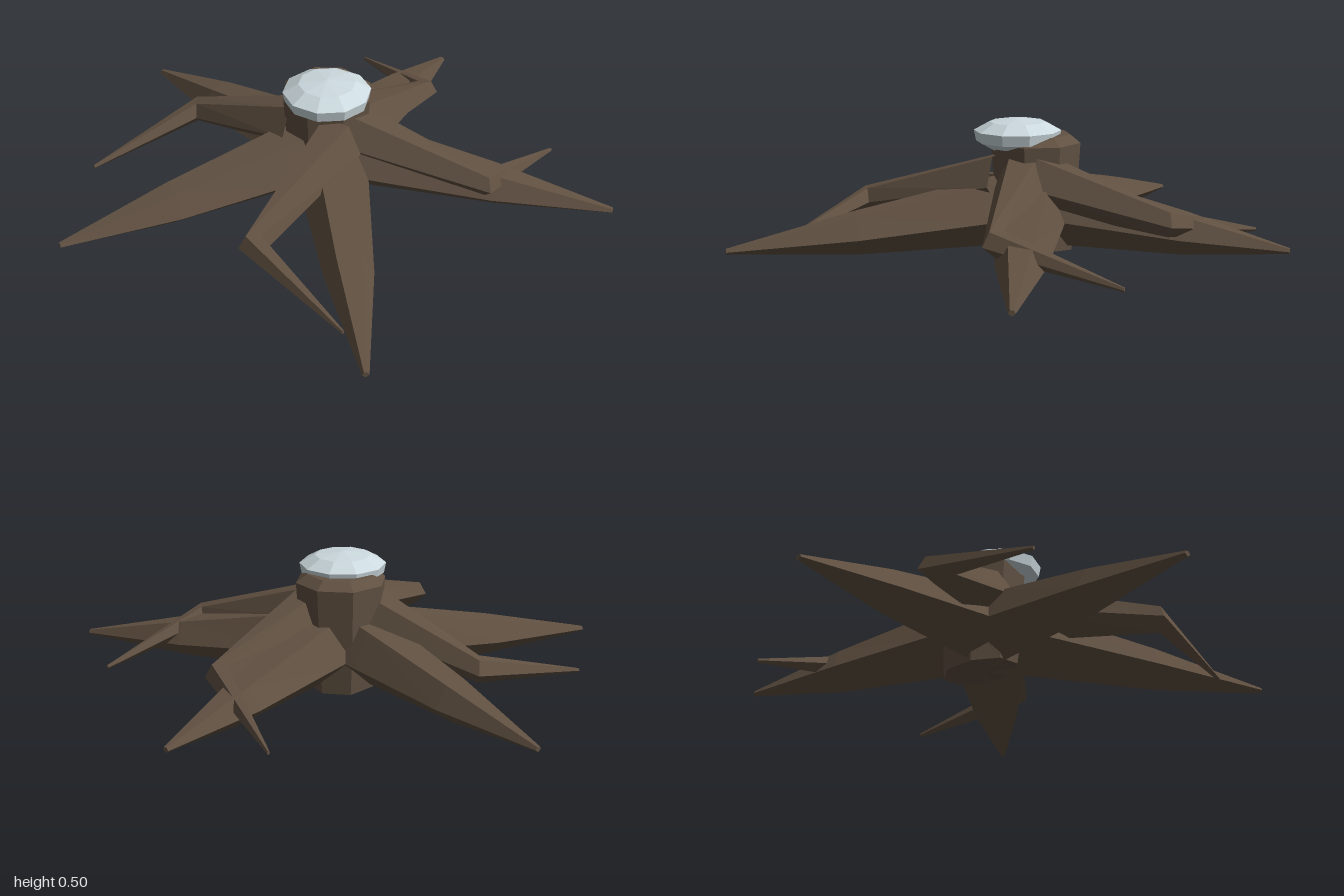
import * as THREE from 'three';

const bark = new THREE.MeshStandardMaterial({ color: 0x615142, flatShading: true });
bark.name = 'brown bark';
const snow = new THREE.MeshStandardMaterial({ color: 0xccd9de, flatShading: true });
snow.name = 'pale snow';

// Pentagon cross-section: [side, height from keel 0 to crest 1]
const SECTION = [[1, 0.47], [0.5, 1], [-0.5, 1], [-1, 0.47], [0, 0]];

// Skin pentagonal sections along a path; each stop is [x, z, bottom, top, halfWidth]
function limb(stops) {
  const flat = stops.map(([x, z]) => new THREE.Vector2(x, z));
  const positions = [];
  stops.forEach(([x, z, low, high, half], i) => {
    const dir = new THREE.Vector2();
    if (i > 0) dir.add(flat[i].clone().sub(flat[i - 1]).normalize());
    if (i < flat.length - 1) dir.add(flat[i + 1].clone().sub(flat[i]).normalize());
    dir.normalize();
    for (const [s, h] of SECTION) {
      positions.push(x + dir.y * s * half, low + (high - low) * h, z - dir.x * s * half);
    }
  });
  const n = SECTION.length;
  const index = [];
  for (let i = 0; i < stops.length - 1; i++) {
    for (let j = 0; j < n; j++) {
      const a = i * n + j, b = i * n + (j + 1) % n;
      index.push(a, b, b + n, a, b + n, a + n);
    }
  }
  const end = (stops.length - 1) * n;
  for (let j = 1; j < n - 1; j++) index.push(end, end + j, end + j + 1);
  const g = new THREE.BufferGeometry();
  g.setAttribute('position', new THREE.Float32BufferAttribute(positions, 3));
  g.setIndex(index);
  g.computeVertexNormals();
  return g;
}

function lathe(profile, sides, turn) {
  return new THREE.LatheGeometry(profile.map(([r, y]) => new THREE.Vector2(r, y)), sides, turn);
}

export function createModel() {
  const model = new THREE.Group();
  model.name = 'snowyStump';
  const add = (name, geometry, material) => {
    const mesh = new THREE.Mesh(geometry, material);
    mesh.name = name;
    model.add(mesh);
    return mesh;
  };

  // Trunk, its underside tilted down towards the back left
  const trunk = lathe([[0, 0.02], [0.14, 0.02], [0.155, 0.14], [0.165, 0.3], [0.172, 0.41], [0.13, 0.44], [0, 0.44]], 8, 0.25);
  const p = trunk.attributes.position;
  for (let i = 0; i < p.count; i++) {
    if (p.getY(i) < 0.1) p.setY(i, Math.max(0, 0.02 - 0.11 * p.getX(i) + 0.11 * p.getZ(i)));
  }
  add('trunk', trunk, bark).position.set(0.015, 0, 0);

  // Five long roots: hub, tip
  const roots = [
    [[-0.02, 0], [0.115, -0.995]],
    [[0.02, 0.01], [-0.965, -0.42]],
    [[0.02, 0], [-0.79, 0.815]],
    [[0, 0], [0.46, 0.99]],
    [[0.02, 0.015], [0.965, -0.13]],
  ];
  roots.forEach(([hub, tip], i) => {
    const at = (t) => [hub[0] + (tip[0] - hub[0]) * t, hub[1] + (tip[1] - hub[1]) * t];
    add('root' + (i + 1), limb([
      [...at(0.05), 0.022, 0.29, 0.14],
      [...at(0.2), 0.024, 0.262, 0.128],
      [...at(0.6), 0.025, 0.178, 0.088],
      [...at(1), 0.06, 0.08, 0.012],
    ]), bark);
  });

  // Four thinner bent roots: start, elbow, tip
  const bent = [
    [[-0.06, -0.08], [-0.115, -0.56], [-0.56, -0.685]],
    [[-0.08, 0.12], [-0.62, 0.195], [-0.685, 0.64]],
    [[0.03, 0.12], [0.19, 0.605], [0.655, 0.607]],
    [[0.09, 0.085], [0.575, 0.05], [0.75, -0.39]],
  ];
  bent.forEach(([start, elbow, tip], i) => {
    add('bentRoot' + (i + 1), limb([
      [...start, 0.17, 0.37, 0.105],
      [...elbow, 0.115, 0.21, 0.053],
      [...tip, 0.065, 0.08, 0.006],
    ]), bark);
  });

  // Snow cap, sitting off centre
  add('snowCap', lathe([[0, 0.385], [0.1, 0.385], [0.155, 0.415], [0.163, 0.455], [0.105, 0.487], [0, 0.5]], 10, 0.15), snow)
    .position.set(-0.038, 0, 0.042);

  return model;
}
